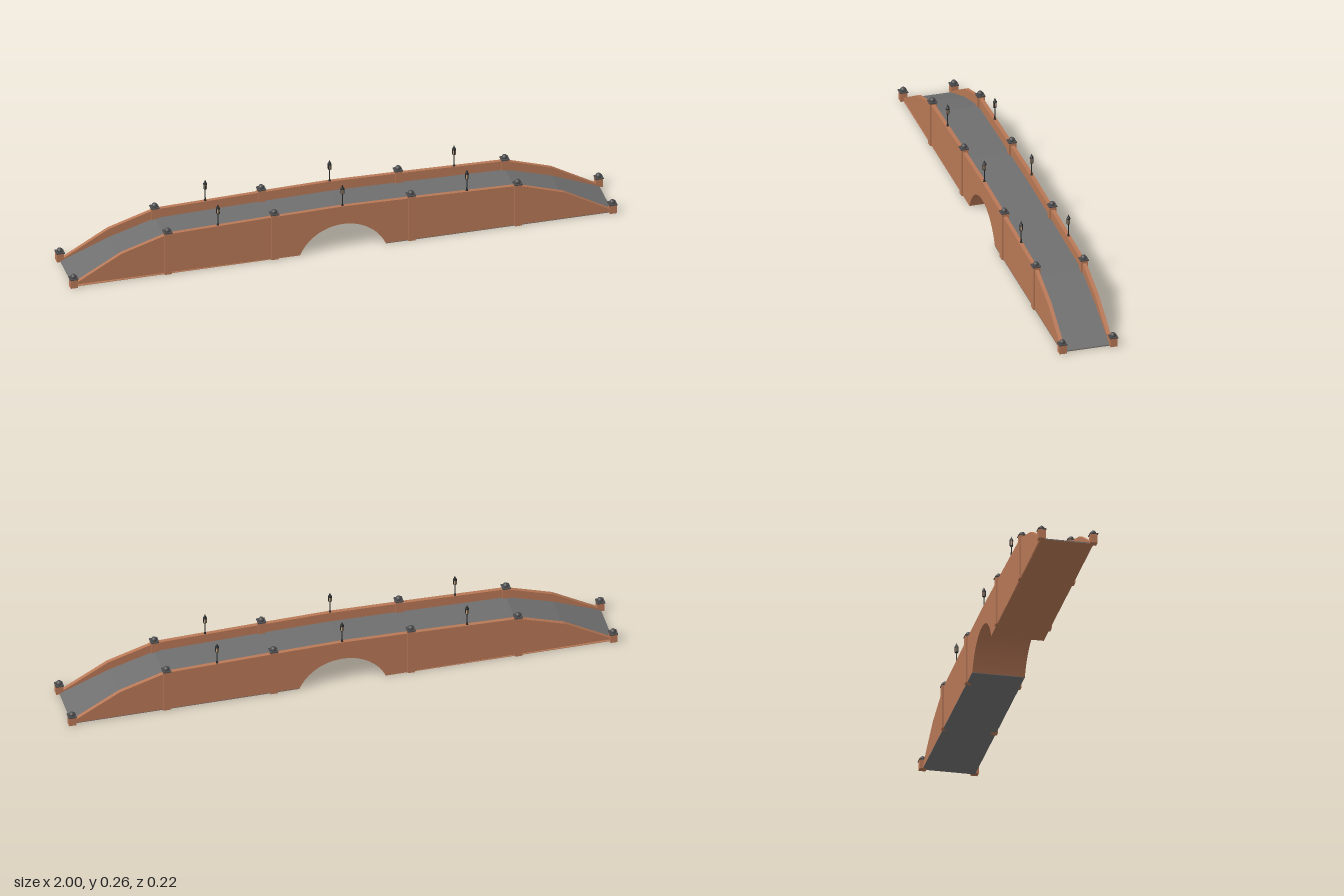
import * as THREE from 'three';

const mat = (name, color) => Object.assign(new THREE.MeshStandardMaterial({ color }), { name });

export function createModel() {
  const brick = mat('brick', 0xb87856);
  const asphalt = mat('asphalt', 0x6f6f6f);
  const slate = mat('slate', 0x4c4c4e);
  const iron = mat('iron', 0x26282a);
  const glass = mat('lampGlass', 0xc8a47c);

  const bridge = new THREE.Group();
  bridge.name = 'bridge';

  const add = (parent, name, geometry, material, x = 0, y = 0, z = 0) => {
    const mesh = new THREE.Mesh(geometry, material);
    mesh.name = name;
    mesh.position.set(x, y, z);
    parent.add(mesh);
    return mesh;
  };
  const box = (w, h, d) => new THREE.BoxGeometry(w, h, d);
  const extrude = (shape, depth) => new THREE.ExtrudeGeometry(shape,
    { depth, bevelEnabled: false, curveSegments: 16 }).translate(0, 0, -depth / 2);

  // Right halves of the parapet and road lines, mirrored to full length
  const mirrored = half => [
    ...half.slice(1).reverse().map(([x, y]) => [-x, y]), ...half];
  const parapetLine = mirrored([[0, 0.177], [0.25, 0.172], [0.64, 0.162], [0.81, 0.108], [0.985, 0.008]]);
  const roadLine = mirrored([[0, 0.14], [0.25, 0.136], [0.64, 0.127], [0.81, 0.076], [0.985, 0.004]]);

  // Solid side outline with the arch cut from below
  const base = 0.002, archHalf = 0.157, archR = 0.17, archY = -0.065;
  const outline = (line, drop = 0) => {
    const shape = new THREE.Shape();
    shape.moveTo(-0.985, base);
    const a = Math.asin((base - archY) / archR);
    shape.absarc(0, archY, archR, Math.PI - a, a, true);
    shape.lineTo(0.985, base);
    for (const [x, y] of [...line].reverse()) shape.lineTo(x, Math.max(y - drop, base + 0.0005));
    shape.closePath();
    return shape;
  };

  // Core, road surface and underside plates
  add(bridge, 'core', extrude(outline(roadLine, 0.003), 0.164), brick);
  const road = new THREE.Shape([
    ...roadLine.map(([x, y]) => new THREE.Vector2(x, y)),
    ...[...roadLine].reverse().map(([x, y]) => new THREE.Vector2(x, y - 0.004))]);
  add(bridge, 'road', extrude(road, 0.163), asphalt);
  const plateLength = 0.985 - archHalf, plateX = (0.985 + archHalf) / 2;
  add(bridge, 'undersideLeft', box(plateLength, base, 0.19), asphalt, plateX, base / 2);
  add(bridge, 'undersideRight', box(plateLength, base, 0.19), brick, -plateX, base / 2);

  // Brick pillar with a slate slab and ball
  const addPillar = (name, x, z, height, width) => {
    const pillar = new THREE.Group();
    pillar.name = name;
    pillar.position.set(x, 0, z);
    add(pillar, 'pillarShaft', box(width, height, width), brick, 0, height / 2);
    add(pillar, 'pillarSlab', box(width + 0.004, 0.004, width + 0.004), slate, 0, height + 0.002);
    add(pillar, 'pillarBall', new THREE.SphereGeometry(0.0105, 16, 10), slate, 0, height + 0.008);
    bridge.add(pillar);
  };

  // Street lamp standing on the parapet
  const addLamp = (x, y, z) => {
    const lamp = new THREE.Group();
    lamp.name = 'lamp';
    lamp.position.set(x, y, z);
    const cyl = (name, top, bottom, h, at, material = iron, sides = 6) =>
      add(lamp, name, new THREE.CylinderGeometry(top, bottom, h, sides), material, 0, at + h / 2);
    cyl('lampFoot', 0.003, 0.005, 0.008, -0.002, iron, 10);
    cyl('lampPole', 0.0018, 0.0024, 0.044, 0.004, iron, 8);
    cyl('lanternBase', 0.0065, 0.004, 0.003, 0.046);
    cyl('lanternGlass', 0.0058, 0.005, 0.018, 0.049, glass);
    for (let i = 0; i < 6; i++) {
      const a = i * Math.PI / 3;
      add(lamp, 'lanternBar', box(0.0018, 0.018, 0.0018), iron,
        Math.sin(a) * 0.0056, 0.058, Math.cos(a) * 0.0056);
    }
    cyl('lanternRim', 0.0075, 0.0075, 0.003, 0.067);
    cyl('lanternRoof', 0.0035, 0.0075, 0.007, 0.07);
    cyl('lanternFinial', 0, 0.0035, 0.009, 0.077);
    bridge.add(lamp);
  };

  // Both sides: parapet wall, pillars and lamps
  for (const side of [1, -1]) {
    add(bridge, 'sideWall', extrude(outline(parapetLine), 0.014), brick, 0, 0, side * 0.088);
    for (const end of [1, -1]) {
      addPillar('endPillar', end * 0.985, side * 0.0935, 0.033, 0.026);
      addPillar('outerPillar', end * 0.64, side * 0.088, 0.167, 0.026);
      addPillar('innerPillar', end * 0.25, side * 0.088, 0.182, 0.026);
      addLamp(end * 0.455, 0.167, side * 0.087);
    }
    addLamp(0, 0.177, side * 0.087);
  }
  return bridge;
}
